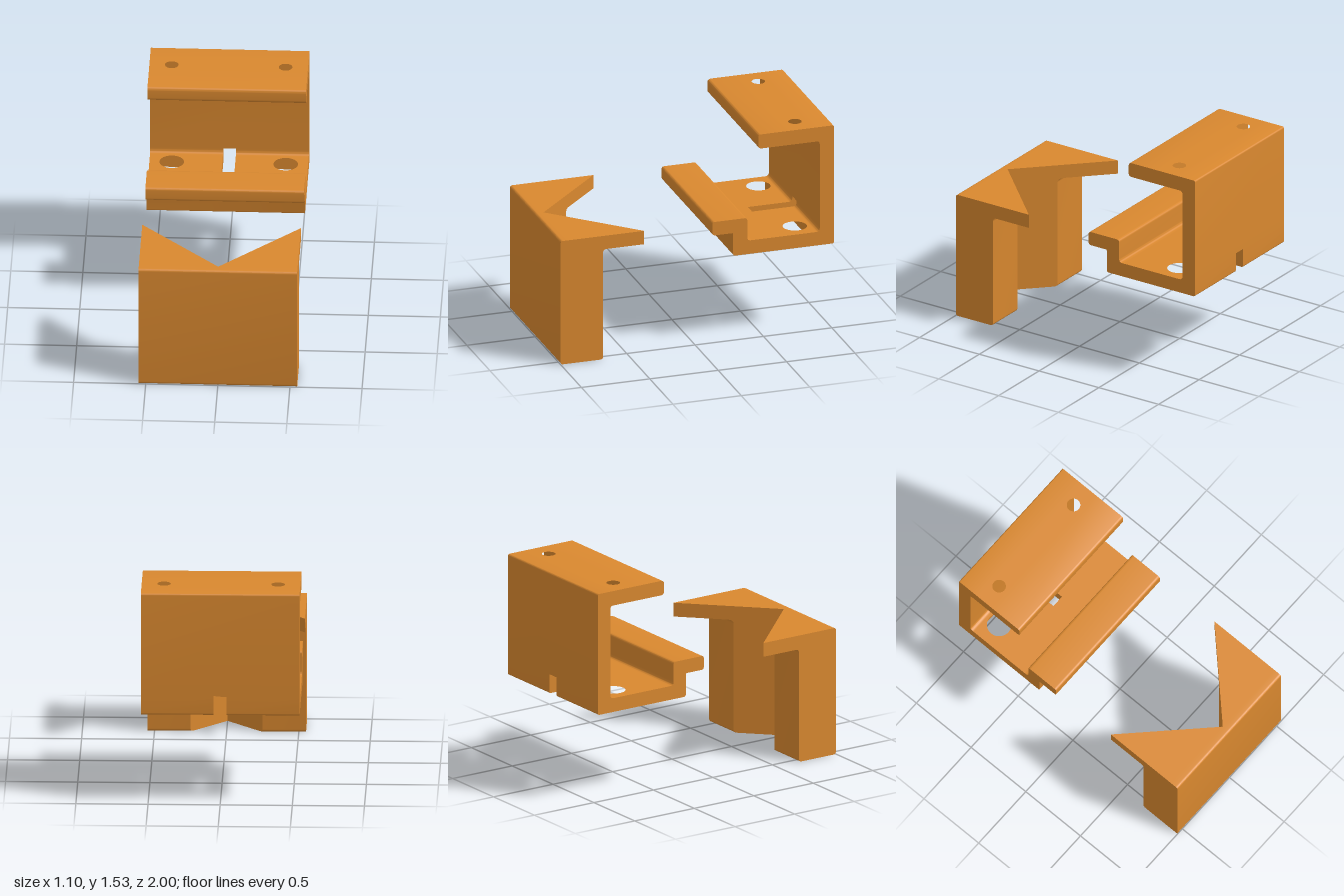
import * as THREE from 'three';
import { toCreasedNormals } from 'three/addons/utils/BufferGeometryUtils.js';

const HALF = 0.55; // half width of both parts

// Closed outline from [a, b, cornerRadius] points
function outline(points) {
  const shape = new THREE.Shape();
  const n = points.length;
  points.forEach(([x, y, r = 0], i) => {
    const p = new THREE.Vector2(x, y);
    const toward = (q) => new THREE.Vector2(q[0], q[1]).sub(p).normalize().multiplyScalar(r).add(p);
    const a = toward(points[(i + n - 1) % n]);
    const b = toward(points[(i + 1) % n]);
    if (i === 0) shape.moveTo(a.x, a.y); else shape.lineTo(a.x, a.y);
    if (r > 0) shape.quadraticCurveTo(x, y, b.x, b.y);
  });
  return shape;
}

// Side profile of [z, y, radius] points swept from x0 to x1
function sweepX(points, x0 = -HALF, x1 = HALF) {
  const shape = outline(points.map(([z, y, r]) => [-z, y, r]));
  const geo = new THREE.ExtrudeGeometry(shape, { depth: x1 - x0, bevelEnabled: false, curveSegments: 6 });
  return geo.rotateY(Math.PI / 2).translate(x0, 0, 0);
}

// Plan of [x, z] points with round holes, from yTop down to yBottom
function plate(points, holeRadius, yBottom, yTop) {
  const shape = outline(points);
  for (const side of [-1, 1]) {
    const hole = new THREE.Path();
    hole.absarc(side * 0.395, -0.765, holeRadius, 0, Math.PI * 2, true);
    shape.holes.push(hole);
  }
  const geo = new THREE.ExtrudeGeometry(shape, { depth: yTop - yBottom, bevelEnabled: false, curveSegments: 32 });
  return geo.rotateX(Math.PI / 2).translate(0, yTop, 0);
}

export function createModel() {
  const model = new THREE.Group();
  const orange = new THREE.MeshStandardMaterial({ name: 'orange plastic', color: 0xd9882f });
  const add = (group, name, geo) => {
    const mesh = new THREE.Mesh(toCreasedNormals(geo, 0.6), orange);
    mesh.name = name;
    group.add(mesh);
  };

  // Rear clamp bracket
  const bracket = new THREE.Group();
  bracket.name = 'clampBracket';
  model.add(bracket);

  add(bracket, 'topFlangeLip', sweepX([
    [-0.445, 1.425, 0.025], [-0.445, 1.53, 0.025], [-0.7, 1.53], [-0.7, 1.425],
  ]));
  add(bracket, 'topFlangePlate', plate(
    [[-HALF, -0.7], [HALF, -0.7], [HALF, -0.83], [-HALF, -0.83]], 0.047, 1.425, 1.53));
  add(bracket, 'backWall', sweepX([
    [-0.83, 1.425], [-0.83, 1.53], [-1, 1.53, 0.015], [-1, 0.79], [-0.895, 0.79], [-0.895, 1.425, 0.025],
  ]));

  // Lower back wall, split by the notch
  const slot = 0.045;
  for (const side of [-1, 1]) {
    const xs = [side * slot, side * HALF].sort((a, b) => a - b);
    add(bracket, 'backWallFoot', sweepX([
      [-0.895, 0.79], [-1, 0.79], [-1, 0.65, 0.015], [-0.865, 0.65], [-0.865, 0.75], [-0.895, 0.75, 0.028],
    ], ...xs));
  }

  // Floor with two large holes and the centre slot
  add(bracket, 'floorPlate', plate([
    [-HALF, -0.4], [HALF, -0.4], [HALF, -0.865], [slot, -0.865],
    [slot, -0.57], [-slot, -0.57], [-slot, -0.865], [-HALF, -0.865],
  ], 0.085, 0.65, 0.75));
  add(bracket, 'steppedFrontRail', sweepX([
    [-0.4, 0.65], [-0.4, 0.75], [-0.365, 0.75, 0.025], [-0.365, 0.92, 0.02],
    [-0.11, 0.92, 0.02], [-0.11, 0.82, 0.02], [-0.262, 0.82, 0.01], [-0.262, 0.65, 0.015],
  ]));

  // Front block with a V cut down its back
  const block = new THREE.Group();
  block.name = 'vBlock';
  model.add(block);

  const apex = 0.94;
  add(block, 'frontPlate', sweepX([
    [apex, 0], [apex, 0.92], [1, 0.92, 0.02], [1, 0, 0.02],
  ]));
  for (const side of [-1, 1]) {
    const geo = sweepX([
      [apex, 0], [0.69, 0, 0.02], [0.69, 0.82, 0.028], [0.39, 0.82], [0.39, 0.92], [apex, 0.92],
    ], Math.min(0, side * HALF), Math.max(0, side * HALF));
    // Slant the inner end to form one face of the V
    const pos = geo.attributes.position;
    for (let i = 0; i < pos.count; i++) {
      if (Math.abs(pos.getX(i)) < 1e-4) pos.setX(i, side * (apex - pos.getZ(i)));
    }
    add(block, side > 0 ? 'leftWedge' : 'rightWedge', geo);
  }
  return model;
}
